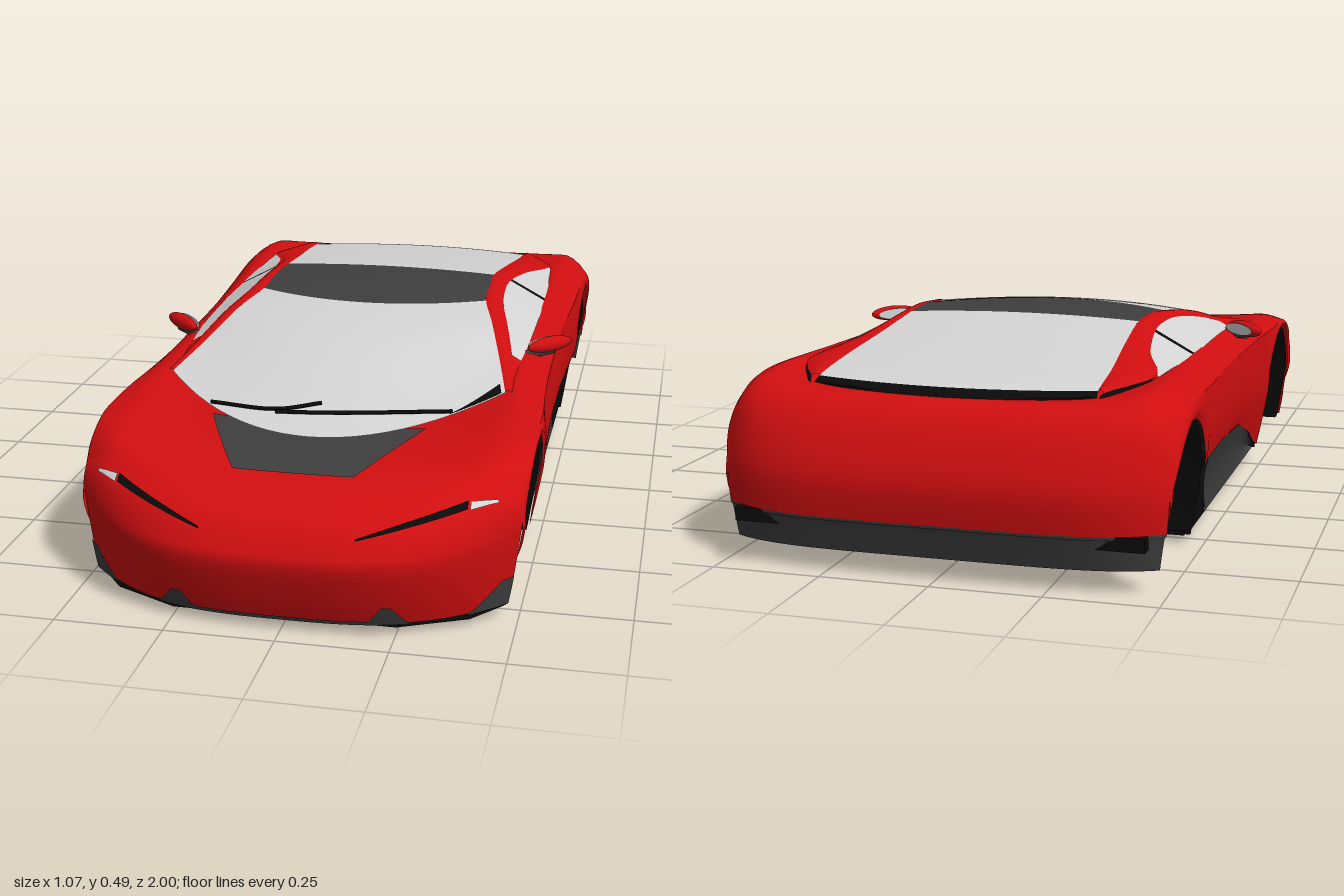
import * as THREE from 'three';

const mat = (name, color) => {
  const m = new THREE.MeshStandardMaterial({ color, side: THREE.DoubleSide });
  m.name = name;
  return m;
};
const { lerp } = THREE.MathUtils;

// Body rows from front lip over the bonnet to the tail:
// z centre, z edge, half width, y centre, y crest, y edge
const BODY = [
  [.95, .775, .475, .03, .03, .03], [.975, .775, .485, .09, .09, .09], [1, .775, .495, .17, .17, .17],
  [.99, .775, .5, .21, .215, .22], [.95, .765, .5, .26, .265, .26], [.89, .74, .5, .29, .3, .285],
  [.82, .7, .503, .312, .335, .315], [.72, .62, .505, .328, .352, .343], [.6, .54, .506, .335, .362, .35],
  [.45, .42, .505, .33, .37, .35], [.3, .3, .497, .33, .38, .35], [.1, .1, .49, .33, .397, .35],
  [-.2, -.2, .49, .33, .405, .355], [-.45, -.45, .5, .33, .408, .36], [-.65, -.65, .507, .36, .412, .37],
  [-.8, -.76, .51, .375, .41, .365], [-.88, -.83, .51, .385, .395, .34], [-.93, -.88, .507, .365, .365, .3],
  [-.97, -.905, .5, .31, .31, .25], [-1, -.915, .5, .22, .22, .2], [-.99, -.915, .495, .13, .13, .13],
  [-.985, -.915, .49, .12, .12, .12], [-.96, -.91, .48, .05, .05, .05],
];
// Cabin rows: z centre, z edge, half width, y centre, y edge, rail x y z, belt x y z
const CABIN = [
  [.66, .38, .41, .34, .378, .425, .372, .36, .43, .355, .34],
  [.45, .22, .375, .39, .407, .405, .397, .2, .425, .385, .2],
  [.23, .06, .335, .44, .447, .375, .432, .05, .43, .398, .05],
  [.02, -.08, .3, .472, .466, .345, .454, -.09, .432, .402, -.09],
  [-.15, -.19, .295, .484, .476, .335, .461, -.2, .432, .403, -.2],
  [-.31, -.31, .29, .482, .473, .335, .456, -.32, .43, .404, -.32],
  [-.5, -.49, .3, .457, .449, .36, .434, -.49, .425, .405, -.49],
  [-.7, -.67, .315, .428, .424, .41, .41, -.66, .415, .4, -.66],
  [-.86, -.81, .32, .402, .402, .335, .4, -.82, .345, .385, -.83],
  [-.885, -.84, .325, .375, .375, .335, .375, -.84, .345, .37, -.84],
];
const ARCHES = [{ z: .565, y: .13, r: .205, back: .02 }, { z: -.725, y: .14, r: .19, back: .1 }];
const DOOR = [[.36, .03], [.3, .05], [.2, .1], [0, .165], [-.3, .185], [-.54, .2]];

// Smooth interpolation between table rows
function row(table, s) {
  const n = table.length - 1, i = Math.min(n - 1, Math.max(0, Math.floor(s))), f = s - i;
  const [a, b, c, d] = [Math.max(0, i - 1), i, i + 1, Math.min(n, i + 2)].map(k => table[k]);
  return b.map((p, k) => p + .5 * f * (c[k] - a[k]
    + f * (2 * a[k] - 5 * p + 4 * c[k] - d[k] + f * (3 * (p - c[k]) + d[k] - a[k]))));
}
function skin(s, t) {
  const [zc, ze, w, yc, yr, ye] = row(BODY, s), a = Math.abs(t), k = .85;
  const y = a < k ? lerp(yc, yr, (a / k) ** 3) : lerp(yr, ye, ((a - k) / (1 - k)) ** 2);
  return new THREE.Vector3(t * w, y, lerp(zc, ze, a ** (s < 12 ? 3 : 5)));
}
function roof(s, t) {
  const [zc, ze, w, yc, ye] = row(CABIN, s);
  return new THREE.Vector3(t * w, lerp(yc, ye, t * t), lerp(zc, ze, t * t));
}
function rail(s, v) {
  const c = row(CABIN, s);
  return new THREE.Vector3(lerp(c[2], c[5], v), lerp(c[4], c[6], v) + .006 * Math.sin(Math.PI * v), lerp(c[1], c[7], v));
}
function cabinSide(s, v) {
  const c = row(CABIN, s);
  return new THREE.Vector3(lerp(c[5], c[8], v), lerp(c[6], c[9], v), lerp(c[7], c[10], v));
}
function doorY(z) {
  for (let i = 1; i < DOOR.length; i++) {
    const [a, b] = [DOOR[i - 1], DOOR[i]];
    if (z >= b[0]) return lerp(a[1], b[1], Math.max(0, (a[0] - z) / (a[0] - b[0])));
  }
  return .14;
}
function bottomY(z) {
  const a = ARCHES.find(c => Math.abs(z - c.z) < c.r);
  if (a) return a.y + Math.sqrt(a.r ** 2 - (z - a.z) ** 2);
  return z > .7 || z < -.7 ? .14 : doorY(z);
}
const tuck = y => .15 * Math.max(0, .2 - y);

// Grid surface, facing dv x du
function surface(fn, nu, nv, flip = false) {
  const pos = [], idx = [];
  for (let i = 0; i <= nu; i++) for (let j = 0; j <= nv; j++) pos.push(...fn(i / nu, j / nv).toArray());
  for (let i = 0; i < nu; i++) for (let j = 0; j < nv; j++) {
    const a = i * (nv + 1) + j, b = a + 1, c = a + nv + 1, d = c + 1;
    idx.push(...(flip ? [a, c, b, b, c, d] : [a, b, c, b, d, c]));
  }
  const g = new THREE.BufferGeometry();
  g.setAttribute('position', new THREE.Float32BufferAttribute(pos, 3));
  g.setIndex(idx);
  g.computeVertexNormals();
  return g;
}
// Point lifted a little off a surface
function lifted(fn, s, t, h) {
  const p = fn(s, t), e = .01;
  const du = fn(s + e, t).sub(fn(s - e, t)), dv = fn(s, t + e).sub(fn(s, t - e));
  return p.add(dv.cross(du).normalize().multiplyScalar(h));
}

export function createModel() {
  const car = new THREE.Group();
  car.name = 'carBody';
  const red = mat('red paint', 0xd00e10), grey = mat('dark grey trim', 0x3e3e3e);
  const black = mat('black', 0x0a0a0a), glass = mat('pale glass', 0xd4d4d4);
  const add = (name, geo, m) => {
    const mesh = new THREE.Mesh(geo, m);
    mesh.name = name;
    car.add(mesh);
    return mesh;
  };
  const box = (name, m, w, h, d, x, y, z) => add(name, new THREE.BoxGeometry(w, h, d), m).position.set(x, y, z);
  const band = (name, m, fn, s0, s1, v0, v1, nu, nv, side = 1) => add(name, surface((u, v) => {
    const p = fn(lerp(s0, s1, u), lerp(v0, v1, v));
    p.x *= side;
    return p;
  }, nu, nv, side < 0), m);
  // Thin painted plate between four [s, t] corners
  const patch = (name, m, fn, [A, B, C, D], side = 1) => add(name, surface((u, v) => {
    const p = lifted(fn, lerp(lerp(A[0], B[0], v), lerp(C[0], D[0], v), u),
      lerp(lerp(A[1], B[1], v), lerp(C[1], D[1], v), u), .004);
    p.x *= side;
    return p;
  }, 14, 14, side < 0), m);

  // Painted shell and rear valance
  band('bodyShell', red, skin, 0, 20, -1, 1, 120, 48);
  band('rearValance', grey, skin, 20, 22, -1, 1, 6, 40);
  patch('bonnetPanel', grey, skin, [[6, -.27], [6, .27], [8.2, -.5], [8.2, .5]]);
  patch('frontLip', grey, skin, [[0, -.42], [0, .42], [.25, -.42], [.25, .42]]);

  // Windscreen, roof panel and rear window
  band('windscreen', glass, roof, 0, 3, -1, 1, 30, 24);
  band('roofPanel', grey, roof, 3, 5, -1, 1, 14, 24);
  band('rearWindow', glass, roof, 5, 8, -1, 1, 24, 24);
  band('rearVent', black, roof, 8, 9, -1, 1, 4, 24);
  patch('cowlShade', black, roof, [[0, .72], [0, .98], [.1, .8], [.35, .98]]);
  [[[.05, -.65], [.45, -.25], [.66, 0]], [[.4, -.25], [.5, .1], [.05, .74]]].forEach(pts => {
    const path = new THREE.CatmullRomCurve3(pts.map(([s, t]) => lifted(roof, s, t, .006)));
    add('wiper', new THREE.TubeGeometry(path, 16, .005, 6), black);
  });

  for (const side of [1, -1]) {
    // Pillars, side windows and divider
    band('roofRail', red, rail, 0, 8, 0, 1, 60, 6, side);
    [['pillarFoot', red, 0, 1.2], ['frontSideWindow', glass, 1.2, 5], ['windowDivider', black, 5, 5.14],
      ['rearSideWindow', glass, 5.14, 6.9], ['rearPillar', red, 6.9, 7.1], ['pillarSeam', black, 7.1, 9],
    ].forEach(([name, m, a, b]) => band(name, m, cabinSide, a, b, 0, 1, 20, 4, side));

    // Flank with wheel arch cutouts
    band('flank', red, (s, v) => {
      const p = skin(s, 1), y = lerp(p.y, Math.min(p.y, bottomY(p.z)), v);
      return new THREE.Vector3(p.x - tuck(y) + .006 * Math.sin(Math.PI * v), y, p.z);
    }, 3, 19, 0, 1, 280, 12, side);

    // Sill panel and the black intake behind it
    const sill = (front, back, dent) => (u, v) => {
      const z = lerp(front(1 - v), back(1 - v), u), y = lerp(doorY(z), .022, v);
      return new THREE.Vector3(.49 - tuck(y) - dent * Math.sin(Math.PI * v), y, z);
    };
    const cut = k => -.33 - .08 * k;
    band('sillPanel', grey, sill(() => .355, cut, .01), 0, 1, 0, 1, 30, 8, side);
    band('sideIntake', black, sill(cut, () => -.535, .02), 0, 1, 0, 1, 12, 8, side);

    // Wheel arch liners
    for (const a of ARCHES) {
      const path = [[a.z + a.r, .02]];
      for (let i = 0; i <= 24; i++) {
        const q = Math.PI * i / 24;
        path.push([a.z + a.r * Math.cos(q), a.y + a.r * Math.sin(q)]);
      }
      path.push([a.z - a.r, a.back]);
      add('wheelArchLiner', surface((u, v) => {
        const [z, y] = path[Math.round(u * (path.length - 1))];
        return new THREE.Vector3(side * lerp(.29, .5 - tuck(y) - .004, v), y, z);
      }, path.length - 1, 1, side > 0), black);
    }

    // Headlights, bumper trim and rear lamp recess
    patch('headlightSlit', black, skin, [[3.45, .34], [3.5, .78].map((n, i) => i ? n : 4.3), [3.52, .34], [4.7, .78]], side);
    patch('headlightLens', glass, skin, [[4.25, .79], [4.35, .9], [4.65, .79], [4.5, .9]], side);
    patch('bumperCorner', grey, skin, [[0, .82], [0, .995], [1.1, .95], [1.1, .995]], side);
    patch('bumperInlet', grey, skin, [[0, .38], [0, .6], [.85, .46], [.85, .5]], side);
    patch('rearDeckVent', black, skin, [[15.4, .36], [15.4, .62], [15.85, .34], [15.6, .6]], side);

    // Door mirror
    const shell = add('mirrorShell', new THREE.SphereGeometry(1, 24, 14), red);
    shell.scale.set(.068, .02, .018);
    shell.position.set(side * .483, .404, .065);
    shell.rotation.y = side * .75;
    const face = add('mirrorGlass', new THREE.CircleGeometry(1, 24), glass);
    face.scale.set(.055, .015, 1);
    face.position.set(side * .470, .404, .051);
    face.rotation.y = side * .75 + Math.PI;
    const arm = new THREE.LineCurve3(new THREE.Vector3(side * .425, .385, .11), new THREE.Vector3(side * .49, .39, .06));
    add('mirrorArm', new THREE.TubeGeometry(arm, 2, .012, 8), grey);
  }

  // Inner core seen through the arches
  const core = new THREE.Shape([[.88, .02], [.93, .15], [.8, .27], [.5, .3], [-.5, .3], [-.85, .34], [-.94, .28],
    [-.94, .1], [-.74, .1], [-.74, .02]].map(([z, y]) => new THREE.Vector2(-z, y)));
  const coreGeo = new THREE.ExtrudeGeometry(core, { depth: .6, bevelEnabled: false });
  coreGeo.translate(0, 0, -.3).rotateY(Math.PI / 2);
  add('innerCore', coreGeo, black);

  // Floor with wheel notches, base plate and rear underside
  const half = [[.25, .92], [.4, .85], [.465, .77], [.3, .77], [.3, .36], [.455, .36], [.455, -.54], [.3, -.54], [.3, -.74]];
  const plan = [...half, ...half.map(([x, z]) => [-x, z]).reverse()].map(p => new THREE.Vector2(...p));
  const floor = new THREE.ExtrudeGeometry(new THREE.Shape(plan), { depth: .01, bevelEnabled: false });
  add('floor', floor.rotateX(Math.PI / 2).translate(0, .028, 0), black);
  box('basePlate', black, .7, .02, 1.17, 0, .01, .015);
  box('rearUnderside', black, .92, .03, .05, 0, .115, -.94);
  return car;
}
